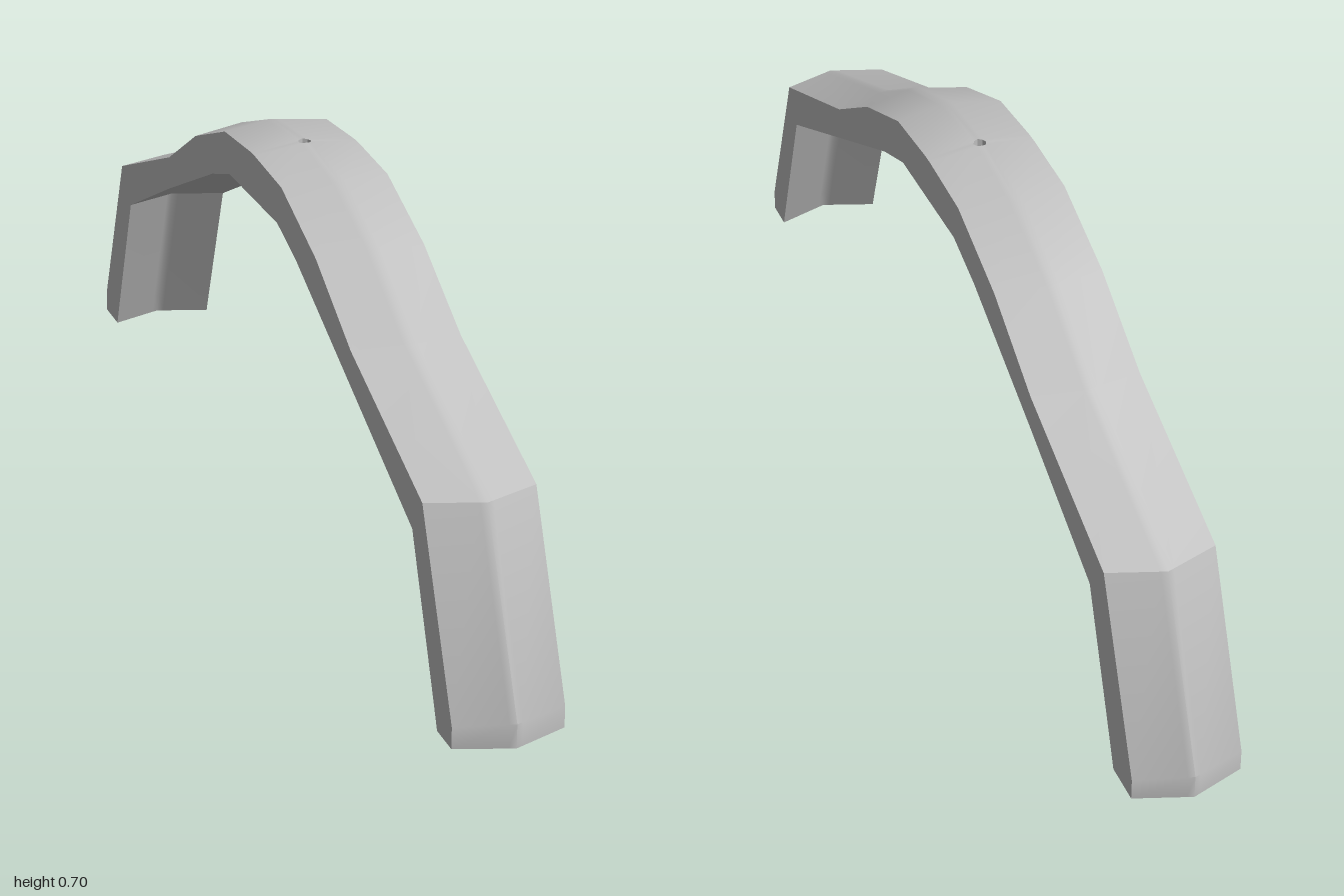
import * as THREE from 'three';
import { toCreasedNormals } from 'three/addons/utils/BufferGeometryUtils.js';

const HALF_WIDTH = 0.1;
const HOLE = 0.012;

// Half profiles from the foot to the crown, as [z, y]
const outerRidge = [[1, 0], [1, 0.045], [0.86, 0.378], [0.525, 0.517], [0.352, 0.62], [0.178, 0.685], [HOLE, 0.703], [0, 0.703]];
const outerEdge = [[0.966, 0], [0.966, 0.04], [0.826, 0.378], [0.5, 0.51], [0.33, 0.612], [0.155, 0.68], [HOLE, 0.69], [0, 0.69]];
const innerRidge = [[0.94, 0], [0.925, 0.04], [0.82, 0.312], [0.53, 0.447], [0.257, 0.575], [0.145, 0.615], [HOLE, 0.616], [0, 0.616]];
const innerEdge = [[0.905, 0], [0.89, 0.04], [0.785, 0.312], [0.5, 0.445], [0.232, 0.57], [0.132, 0.605], [HOLE, 0.605], [0, 0.605]];

// Mirror a half profile to the back; the inner side of the back leg is a little thicker
function fullProfile(half, backInset = 0) {
  const back = half.slice(0, -1).reverse()
    .map(([z, y]) => [-(z > 0.7 ? z - backInset : z), y]);
  return [...half, ...back];
}

function buildArch() {
  const columns = [-HALF_WIDTH, -HOLE, 0, HOLE, HALF_WIDTH];
  const positions = [];
  const indices = [];

  // One layer of points: a bent strip, with a ring around the crown rounded off
  function addLayer(ridge, edge) {
    const first = positions.length / 3;
    const mid = (ridge.length - 1) / 2;
    ridge.forEach(([rz, ry], i) => columns.forEach((x, j) => {
      const t = Math.abs(x) / HALF_WIDTH;
      const round = Math.abs(i - mid) === 1 && Math.abs(j - 2) === 1 ? Math.SQRT1_2 : 1;
      const z = THREE.MathUtils.lerp(rz, edge[i][0], t);
      const y = THREE.MathUtils.lerp(ry, edge[i][1], t);
      positions.push(x * round, y, z * round);
    }));
    return (i, j) => first + i * columns.length + j;
  }
  const quad = (a, b, c, d) => indices.push(a, b, c, a, c, d);

  const ridge = fullProfile(outerRidge);
  const out = addLayer(ridge, fullProfile(outerEdge));
  const inn = addLayer(fullProfile(innerRidge, 0.015), fullProfile(innerEdge, 0.015));
  const last = ridge.length - 1;
  const mid = last / 2;

  // Upper and lower skins, open at the hole, and the two sides
  for (let i = 0; i < last; i++) {
    for (let j = 0; j < 4; j++) {
      const inHole = (i === mid - 1 || i === mid) && (j === 1 || j === 2);
      if (inHole) continue;
      quad(out(i, j), out(i, j + 1), out(i + 1, j + 1), out(i + 1, j));
      quad(inn(i, j), inn(i + 1, j), inn(i + 1, j + 1), inn(i, j + 1));
    }
    quad(out(i, 4), inn(i, 4), inn(i + 1, 4), out(i + 1, 4));
    quad(out(i, 0), out(i + 1, 0), inn(i + 1, 0), inn(i, 0));
  }

  // Soles of the two feet
  for (let j = 0; j < 4; j++) {
    quad(inn(0, j), inn(0, j + 1), out(0, j + 1), out(0, j));
    quad(inn(last, j), out(last, j), out(last, j + 1), inn(last, j + 1));
  }

  // Wall of the pin hole
  const ring = [[0, 1], [1, 1], [1, 0], [1, -1], [0, -1], [-1, -1], [-1, 0], [-1, 1]];
  ring.forEach(([di, dj], k) => {
    const [ei, ej] = ring[(k + 1) % ring.length];
    quad(out(mid + di, 2 + dj), out(mid + ei, 2 + ej), inn(mid + ei, 2 + ej), inn(mid + di, 2 + dj));
  });

  const geometry = new THREE.BufferGeometry();
  geometry.setAttribute('position', new THREE.Float32BufferAttribute(positions, 3));
  geometry.setIndex(indices);
  return toCreasedNormals(geometry, 0.72);
}

export function createModel() {
  const grey = new THREE.MeshStandardMaterial({ color: 0xc0c0c0 });
  grey.name = 'light grey';

  const arch = new THREE.Mesh(buildArch(), grey);
  arch.name = 'archedBand';

  const model = new THREE.Group();
  model.name = 'archedBracket';
  model.add(arch);
  return model;
}
